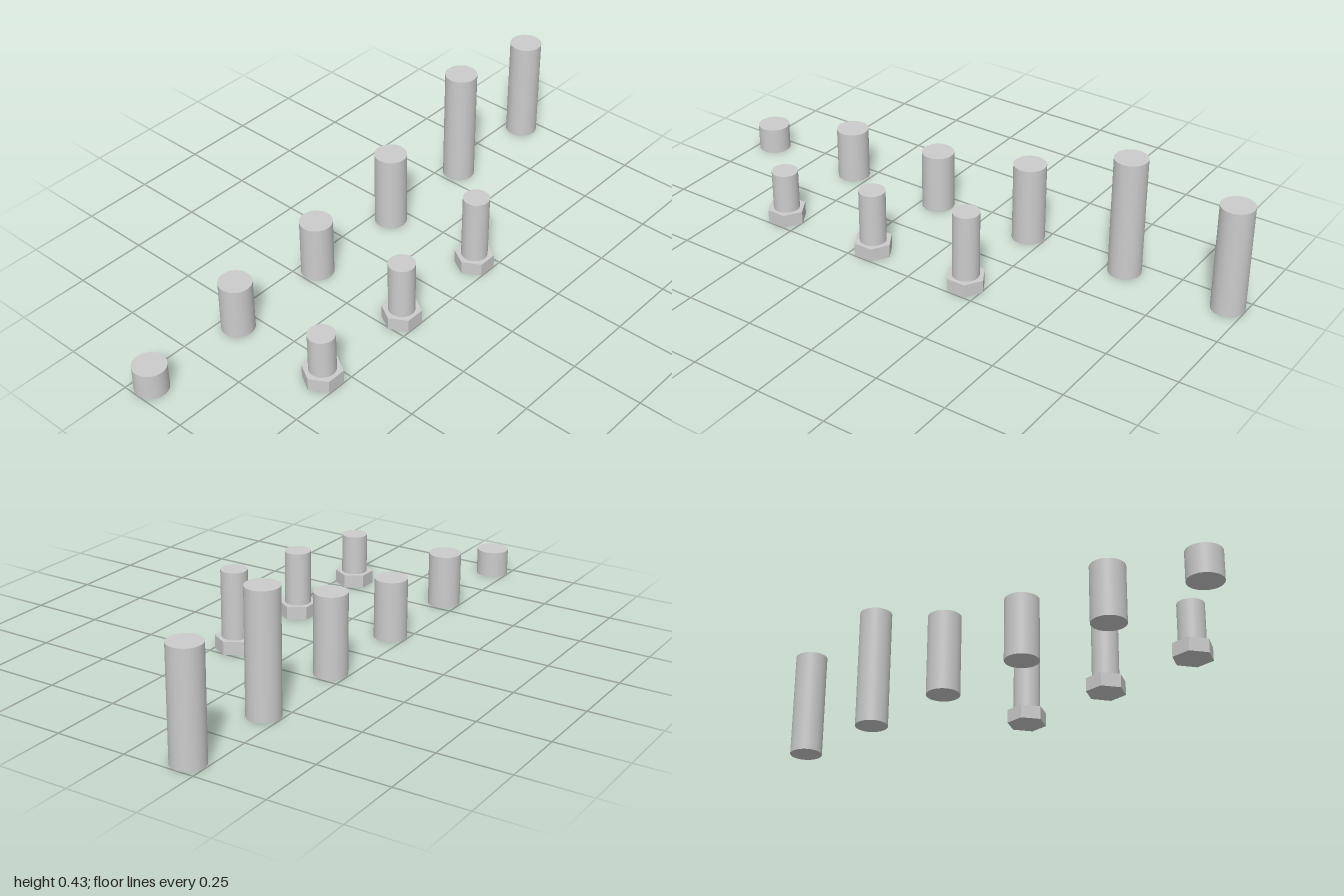
import * as THREE from 'three';

const material = new THREE.MeshStandardMaterial({ color: 0xcccccc });
const SPACING = 0.377;

// Upright cylinder or prism standing on height y
function post(name, radius, height, y, sides, flat = false) {
  let geometry = new THREE.CylinderGeometry(radius, radius, height, sides);
  if (flat) {
    geometry.rotateY(Math.PI / 6); // corners point along x
    geometry = geometry.toNonIndexed();
    geometry.computeVertexNormals();
  }
  geometry.translate(0, y + height / 2, 0);
  const mesh = new THREE.Mesh(geometry, material);
  mesh.name = name;
  return mesh;
}

// Hexagonal head with a round shank on top
function bolt(totalHeight) {
  const headHeight = 0.047;
  const group = new THREE.Group();
  group.add(post('boltHead', 0.068, headHeight, 0, 6, true));
  group.add(post('boltShank', 0.0453, totalHeight - headHeight, headHeight, 48));
  return group;
}

export function createModel() {
  const model = new THREE.Group();
  model.name = 'boltsAndPins';

  // Back row: six plain pins
  [0.094, 0.189, 0.212, 0.283, 0.425, 0.378].forEach((height, i) => {
    const pin = post(`pin${i + 1}`, 0.0566, height, 0, 48);
    pin.position.set((i - 2.5) * SPACING, 0, -0.19);
    model.add(pin);
  });

  // Front row: three bolts standing on their heads
  [0.189, 0.236, 0.283].forEach((height, i) => {
    const b = bolt(height);
    b.name = `bolt${i + 1}`;
    b.position.set((i - 1.5) * SPACING, 0, 0.188);
    model.add(b);
  });

  return model;
}
